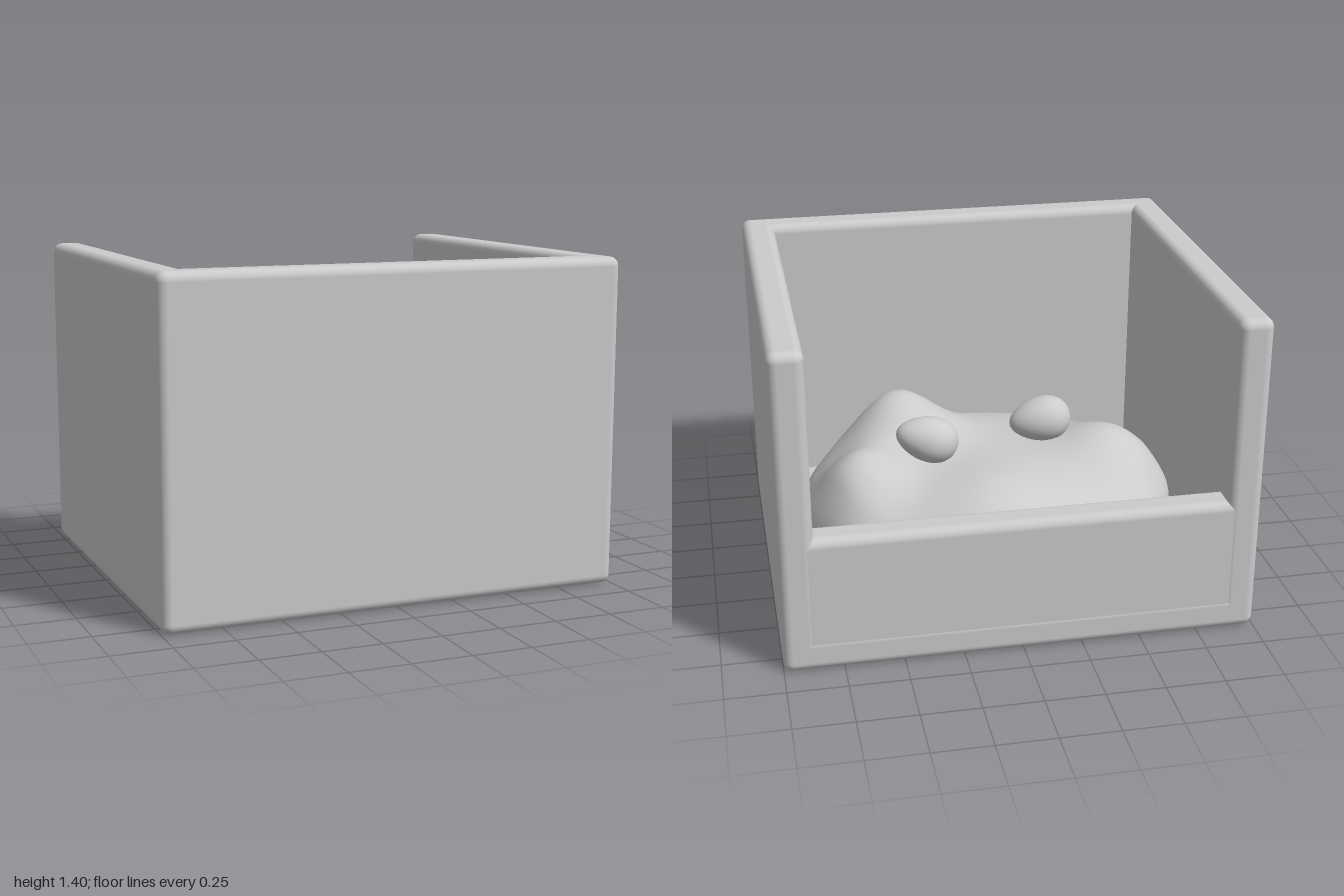
import * as THREE from 'three';
import { RoundedBoxGeometry } from 'three/addons/geometries/RoundedBoxGeometry.js';
import { mergeVertices } from 'three/addons/utils/BufferGeometryUtils.js';

const grey = new THREE.MeshStandardMaterial({ color: 0xcccccc });

function add(group, name, geometry, x, y, z) {
  const mesh = new THREE.Mesh(geometry, grey);
  mesh.name = name;
  mesh.position.set(x, y, z);
  group.add(mesh);
  return mesh;
}

// Rounded panel given by its minimum and maximum corners
function panel(group, name, [x0, y0, z0], [x1, y1, z1]) {
  const geometry = new RoundedBoxGeometry(x1 - x0, y1 - y0, z1 - z0, 5, 0.04);
  return add(group, name, geometry, (x0 + x1) / 2, (y0 + y1) / 2, (z0 + z1) / 2);
}

// Unit sphere whose vertices are moved by a rule, with smooth normals
function shapedSphere(columns, rows, rule) {
  const sphere = new THREE.SphereGeometry(1, columns, rows);
  sphere.deleteAttribute('uv');
  sphere.deleteAttribute('normal');
  const geometry = mergeVertices(sphere);
  const position = geometry.attributes.position;
  const v = new THREE.Vector3();
  for (let i = 0; i < position.count; i++) {
    rule(v.fromBufferAttribute(position, i));
    position.setXYZ(i, v.x, v.y, v.z);
  }
  geometry.computeVertexNormals();
  return geometry;
}

// Soft mounds on the heap: x, z, height, radius
const mounds = [
  [0.38, 0.25, 0.23, 0.24],
  [0.62, -0.18, 0.16, 0.2],
  [-0.58, -0.08, 0.14, 0.25],
  [0.06, -0.48, 0.07, 0.28],
];

function heapRule(v) {
  const up = Math.max(v.y, 0);
  const angle = Math.atan2(v.z, v.x);
  const ripple = 1 - 0.008 * (1 + Math.sin(angle * 11)) * (1 - up);
  v.x *= 0.85 * ripple;
  v.z *= 0.725 * ripple;
  v.y = 0.27 + v.y * (v.y > 0 ? 0.28 : 0.15);
  for (const [x, z, height, radius] of mounds) {
    const d2 = (v.x - x) ** 2 + (v.z - z) ** 2;
    v.y += height * Math.exp(-d2 / radius ** 2) * Math.min(1, up * 2);
  }
}

// Egg with its narrow end towards +x
function eggRule(v) {
  const taper = 1 - 0.2 * v.x;
  v.set(v.x * 0.14, v.y * 0.1 * taper, v.z * 0.1 * taper);
}

export function createModel() {
  const group = new THREE.Group();
  group.name = 'nestBox';

  // Open box: floor, tall front, low back, two tall sides
  panel(group, 'floor', [-1, 0, -0.87], [1, 0.15, 0.87]);
  for (const [side, name] of [[1, 'leftWall'], [-1, 'rightWall']]) {
    const x = side * 0.9275;
    panel(group, name, [x - 0.0725, 0.02, -0.87], [x + 0.0725, 1.4, 0.87]);
  }
  panel(group, 'frontWall', [-1, 0.02, 0.72], [1, 1.4, 0.87]);
  panel(group, 'lowBackWall', [-0.92, 0.02, -0.868], [0.92, 0.6, -0.725]);

  // Bedding heap with two eggs on top
  add(group, 'bedding', shapedSphere(96, 64, heapRule), 0, 0, 0);
  const egg = shapedSphere(32, 24, eggRule);
  add(group, 'leftEgg', egg, 0.29, 0.67, -0.155).rotation.z = 0.3;
  add(group, 'rightEgg', egg, -0.25, 0.65, 0).rotation.z = -0.1;

  return group;
}
